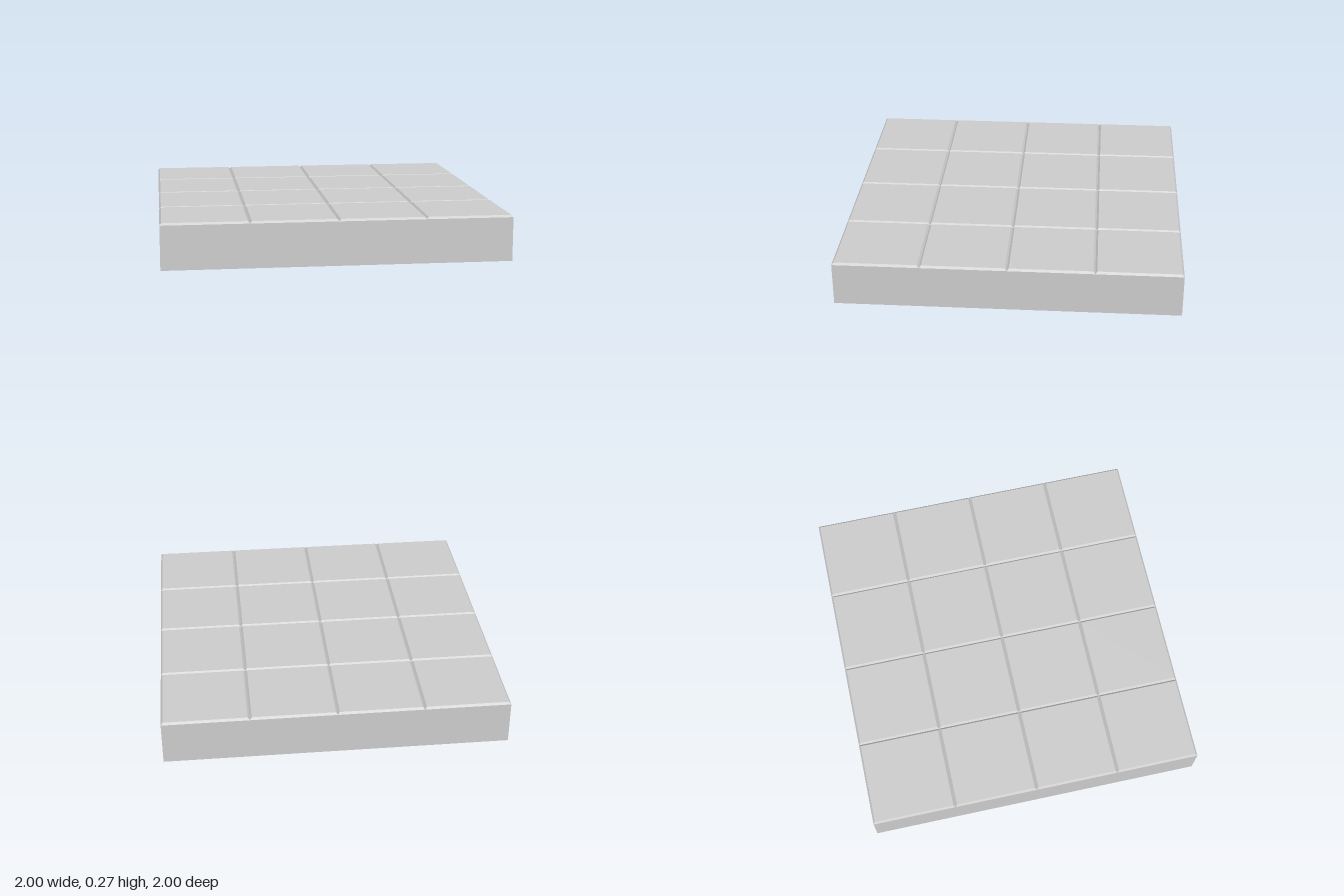
import * as THREE from 'three';
import { mergeGeometries } from 'three/addons/utils/BufferGeometryUtils.js';

const TILES = 4;      // tiles per side
const SIZE = 0.5;     // tile pitch
const RIM = 0.255;    // height of the groove bottoms and side walls
const TOP = 0.267;    // height of the tile faces
const BEVEL = 0.011;  // width of the chamfer around each tile

// Open square band from y0 to y1, given its half widths below and above
function squareBand(halfBottom, halfTop, y0, y1) {
  const g = new THREE.CylinderGeometry(
    halfTop * Math.SQRT2, halfBottom * Math.SQRT2, y1 - y0, 4, 1, true);
  g.rotateY(Math.PI / 4);
  g.translate(0, (y0 + y1) / 2, 0);
  const flat = g.toNonIndexed();
  flat.computeVertexNormals();
  return flat;
}

// Chamfered tile: four sloping edges and a flat face
function tileGeometry() {
  const half = SIZE / 2;
  const face = new THREE.PlaneGeometry(SIZE - 2 * BEVEL, SIZE - 2 * BEVEL);
  face.rotateX(-Math.PI / 2);
  face.translate(0, TOP, 0);
  return mergeGeometries([
    squareBand(half, half - BEVEL, RIM, TOP),
    face.toNonIndexed(),
  ]);
}

export function createModel() {
  const group = new THREE.Group();
  group.name = 'tiledFloor';
  const material = new THREE.MeshStandardMaterial({
    color: 0xcccccc, flatShading: true, side: THREE.DoubleSide,
  });

  // Side walls, open underneath
  const walls = new THREE.Mesh(squareBand(1, 1, 0, RIM), material);
  walls.name = 'sideWalls';
  group.add(walls);

  // Grid of tiles; neighbouring chamfers form the grooves
  const tiles = new THREE.Group();
  tiles.name = 'tiles';
  const geometry = tileGeometry();
  for (let row = 0; row < TILES; row++) {
    for (let col = 0; col < TILES; col++) {
      const tile = new THREE.Mesh(geometry, material);
      tile.name = `tile_${row + 1}_${col + 1}`;
      tile.position.set(
        (col - (TILES - 1) / 2) * SIZE, 0, (row - (TILES - 1) / 2) * SIZE);
      tiles.add(tile);
    }
  }
  group.add(tiles);
  return group;
}
